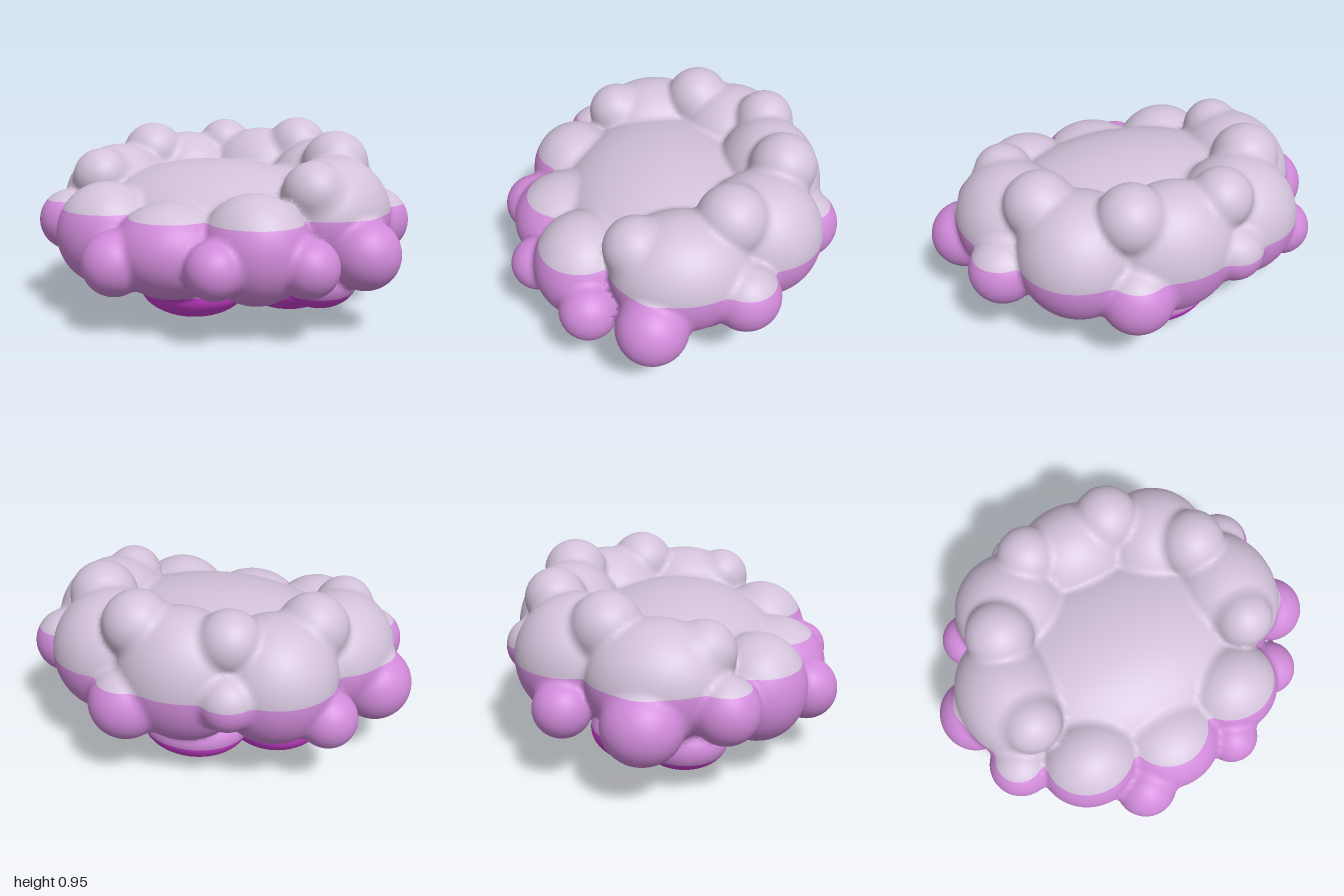
import * as THREE from 'three';

// Puffs: [x, y, z, rx, ry, rz]; ry and rz default to rx
const mirror = list => list.flatMap(([x, ...r]) => [[x, ...r], [-x, ...r]]);

const body = [
  [0, 0.44, 0, 0.72, 0.33, 0.55],
  [0, 0.56, -0.53, 0.33, 0.33, 0.27],
  [0, 0.40, 0.52, 0.28, 0.23, 0.27],
  ...mirror([
    [0.41, 0.55, -0.41, 0.30, 0.31, 0.30],
    [0.61, 0.53, 0, 0.28, 0.29, 0.34],
    [0.40, 0.43, 0.45, 0.26, 0.26, 0.24],
  ]),
];

const crownPuffs = [
  [0.21, 0.79, -0.55, 0.165],
  [-0.24, 0.78, -0.55, 0.15],
  ...mirror([
    [0.54, 0.75, -0.24, 0.17],
    [0.59, 0.67, 0.21, 0.15],
  ]),
];

const sidePuffs = [
  [-0.82, 0.40, -0.04, 0.18, 0.18, 0.19],
  [-0.68, 0.40, -0.43, 0.14],
  [-0.72, 0.45, 0.32, 0.16],
  [-0.21, 0.35, 0.69, 0.155],
  [0.30, 0.37, 0.67, 0.135],
  [0.66, 0.37, 0.44, 0.14],
  [0.83, 0.39, 0.16, 0.17],
  [0.75, 0.47, -0.28, 0.165],
  [0.23, 0.44, -0.67, 0.18],
  [-0.27, 0.54, -0.66, 0.14],
];

const bellyPuffs = [
  [0, 0.20, -0.38, 0.27, 0.15, 0.23],
  [0, 0.18, 0.30, 0.27, 0.15, 0.25],
  ...mirror([
    [0.34, 0.16, -0.11, 0.26, 0.16, 0.26],
    [0.60, 0.24, 0.12, 0.18, 0.14, 0.21],
  ]),
];

const puffs = [...body, ...crownPuffs, ...sidePuffs, ...bellyPuffs];
const BLEND = 0.03;

// Signed distance to the softly merged puffs
function field(x, y, z) {
  let d = 10;
  for (const [cx, cy, cz, rx, ry = rx, rz = rx] of puffs) {
    const px = (x - cx) / rx, py = (y - cy) / ry, pz = (z - cz) / rz;
    const k0 = Math.hypot(px, py, pz);
    const k1 = Math.hypot(px / rx, py / ry, pz / rz);
    const e = k1 < 1e-6 ? -Math.min(rx, ry, rz) : k0 * (k0 - 1) / k1;
    const h = Math.max(BLEND - Math.abs(d - e), 0) / BLEND;
    d = Math.min(d, e) - h * h * BLEND / 4;
  }
  return d;
}

function gradient(p) {
  const s = 0.002;
  return new THREE.Vector3(
    field(p.x + s, p.y, p.z) - field(p.x - s, p.y, p.z),
    field(p.x, p.y + s, p.z) - field(p.x, p.y - s, p.z),
    field(p.x, p.y, p.z + s) - field(p.x, p.y, p.z - s),
  ).divideScalar(2 * s);
}

// Triangles of the merged surface, one vertex per grid cell it crosses
function skinTriangles() {
  const step = 0.02, origin = [-1.08, -0.06, -0.95], size = [109, 56, 96];
  const strides = [1, size[0], size[0] * size[1]];
  const at = (a, i) => origin[a] + i * step;
  const values = new Float32Array(size[0] * size[1] * size[2]).fill(1);
  const each = (from, fn) => {
    for (let k = from; k < size[2] - 1; k++)
      for (let j = from; j < size[1] - 1; j++)
        for (let i = from; i < size[0] - 1; i++) fn(i, j, k, i + j * strides[1] + k * strides[2]);
  };
  each(0, (i, j, k, n) => { values[n] = field(at(0, i), at(1, j), at(2, k)); });

  const cells = new Map();
  const cellVertex = n => {
    if (!cells.has(n)) {
      const i = n % size[0], j = Math.floor(n / strides[1]) % size[1], k = Math.floor(n / strides[2]);
      const p = new THREE.Vector3(at(0, i + 0.5), at(1, j + 0.5), at(2, k + 0.5));
      for (let t = 0; t < 4; t++) {
        const g = gradient(p);
        p.addScaledVector(g, -field(p.x, p.y, p.z) / Math.max(g.lengthSq(), 0.2));
      }
      cells.set(n, { p, n: gradient(p).normalize() });
    }
    return cells.get(n);
  };

  const triangles = [];
  each(1, (i, j, k, n) => {
    for (let a = 0; a < 3; a++) {
      const inside = values[n] < 0;
      if (inside === values[n + strides[a]] < 0) continue;
      const b = strides[(a + 1) % 3], c = strides[(a + 2) % 3];
      const quad = [n - b - c, n - c, n, n - b].map(cellVertex);
      if (!inside) quad.reverse();
      triangles.push([quad[0], quad[1], quad[2]], [quad[0], quad[2], quad[3]]);
    }
  });
  return triangles;
}

// Keep the side of a polygon where sign * (y - level) >= 0
function clip(polygon, level, sign) {
  const out = [];
  polygon.forEach((v, i) => {
    const w = polygon[(i + 1) % polygon.length];
    const dv = sign * (v.p.y - level), dw = sign * (w.p.y - level);
    if (dv >= 0) out.push(v);
    if (dv * dw < 0) {
      const t = dv / (dv - dw);
      out.push({ p: v.p.clone().lerp(w.p, t), n: v.n.clone().lerp(w.n, t).normalize() });
    }
  });
  return out;
}

function bandGeometry(triangles, low, high) {
  const position = [], normal = [];
  for (const triangle of triangles) {
    const polygon = clip(clip(triangle, low, 1), high, -1);
    for (let i = 1; i < polygon.length - 1; i++)
      for (const v of [polygon[0], polygon[i], polygon[i + 1]]) {
        position.push(v.p.x, v.p.y, v.p.z);
        normal.push(v.n.x, v.n.y, v.n.z);
      }
  }
  const geometry = new THREE.BufferGeometry();
  geometry.setAttribute('position', new THREE.Float32BufferAttribute(position, 3));
  geometry.setAttribute('normal', new THREE.Float32BufferAttribute(normal, 3));
  return geometry;
}

export function createModel() {
  const group = new THREE.Group();
  group.name = 'puffyCloud';
  const triangles = skinTriangles();

  // Three level colour bands of the cloud
  const bands = [
    ['cloudTop', 'pale lilac', 0xd2c2da, 0.56, 2],
    ['cloudSide', 'orchid', 0xd08ad9, 0.18, 0.56],
    ['cloudBelly', 'bright magenta', 0xcc3fd2, -1, 0.18],
  ];
  for (const [name, colourName, color, low, high] of bands) {
    const material = new THREE.MeshStandardMaterial({ color });
    material.name = colourName;
    const mesh = new THREE.Mesh(bandGeometry(triangles, low, high), material);
    mesh.name = name;
    group.add(mesh);
  }
  return group;
}
